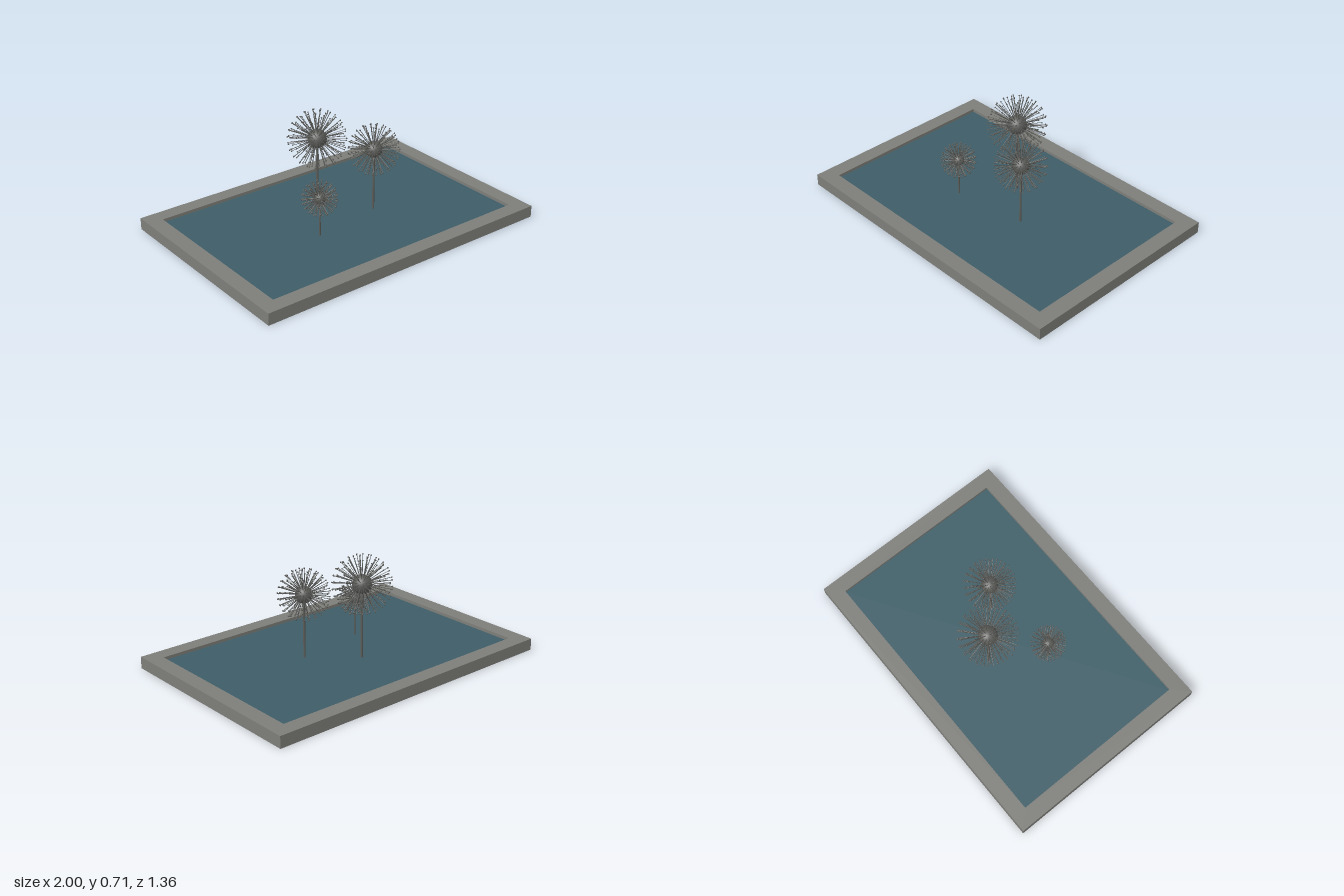
import * as THREE from 'three';
import { mergeGeometries } from 'three/addons/utils/BufferGeometryUtils.js';

const material = (name, color) => {
  const m = new THREE.MeshStandardMaterial({ color });
  m.name = name;
  return m;
};

function addMesh(parent, name, geometry, mat, x = 0, y = 0, z = 0) {
  const mesh = new THREE.Mesh(geometry, mat);
  mesh.name = name;
  mesh.position.set(x, y, z);
  parent.add(mesh);
  return mesh;
}

// Evenly spread unit directions over a sphere
function sphereDirections(count) {
  const golden = Math.PI * (3 - Math.sqrt(5));
  return Array.from({ length: count }, (_, i) => {
    const y = 1 - (2 * (i + 0.5)) / count;
    const r = Math.sqrt(1 - y * y);
    return new THREE.Vector3(Math.cos(i * golden) * r, y, Math.sin(i * golden) * r);
  });
}

// Dandelion fountain: stem, ball, radiating pipes with nozzle tips
function dandelion({ x, y, z, ball, reach, stem, count }, metal, waterY) {
  const group = new THREE.Group();
  group.name = 'dandelionFountain';
  group.position.set(x, 0, z);
  addMesh(group, 'stem', new THREE.CylinderGeometry(stem, stem, y - waterY, 12), metal, 0, (y + waterY) / 2, 0);
  addMesh(group, 'ball', new THREE.SphereGeometry(ball, 24, 16), metal, 0, y, 0);

  const up = new THREE.Vector3(0, 1, 0);
  const tipRadius = 0.0048;
  const length = reach - tipRadius;
  const pipes = [], tips = [];
  for (const dir of sphereDirections(count)) {
    const pipe = new THREE.CylinderGeometry(0.0018, 0.0018, length, 5, 1, true);
    pipe.translate(0, length / 2, 0);
    pipe.applyQuaternion(new THREE.Quaternion().setFromUnitVectors(up, dir));
    pipes.push(pipe);
    const tip = new THREE.SphereGeometry(tipRadius, 8, 6);
    tip.translate(dir.x * length, dir.y * length, dir.z * length);
    tips.push(tip);
  }
  addMesh(group, 'pipes', mergeGeometries(pipes), metal, 0, y, 0);
  addMesh(group, 'nozzleTips', mergeGeometries(tips), metal, 0, y, 0);
  return group;
}

export function createModel() {
  const model = new THREE.Group();
  model.name = 'fountainPool';
  const stone = material('stone', 0x7e7f7a);
  const water = material('water', 0x3f5e68);
  const metal = material('metal', 0x5c5c59);

  // Stone basin: rim with rectangular opening over a floor slab
  const W = 1, D = 0.68, H = 0.075, w = 0.9, d = 0.582, waterY = 0.055;
  const rim = new THREE.Shape([[-W, -D], [W, -D], [W, D], [-W, D]].map(p => new THREE.Vector2(...p)));
  rim.holes.push(new THREE.Path([[-w, -d], [-w, d], [w, d], [w, -d]].map(p => new THREE.Vector2(...p))));
  const rimGeometry = new THREE.ExtrudeGeometry(rim, { depth: H, bevelEnabled: false });
  rimGeometry.rotateX(-Math.PI / 2);
  addMesh(model, 'rim', rimGeometry, stone);
  addMesh(model, 'floor', new THREE.BoxGeometry(2 * w, 0.03, 2 * d), stone, 0, 0.015, 0);

  // Water surface
  const surface = new THREE.PlaneGeometry(2 * w, 2 * d);
  surface.rotateX(-Math.PI / 2);
  addMesh(model, 'water', surface, water, 0, waterY, 0);

  // Three fountains of different height
  const fountains = [
    { x: -0.037, y: 0.525, z: -0.16, ball: 0.06, reach: 0.186, stem: 0.008, count: 150 },
    { x: 0.226, y: 0.46, z: 0.066, ball: 0.053, reach: 0.163, stem: 0.007, count: 150 },
    { x: -0.246, y: 0.303, z: 0.138, ball: 0.037, reach: 0.112, stem: 0.0055, count: 130 },
  ];
  for (const f of fountains) model.add(dandelion(f, metal, waterY));
  return model;
}
